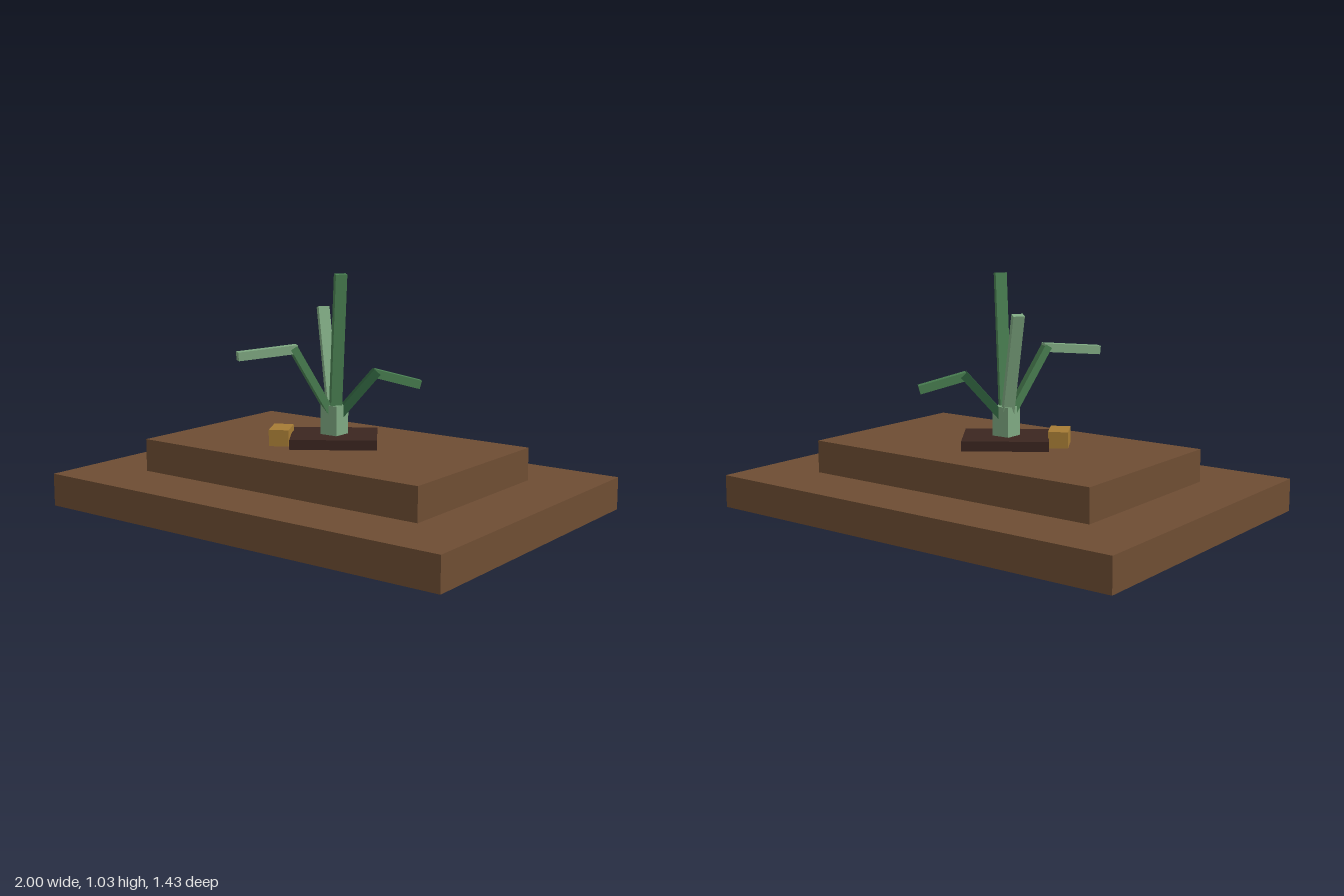
import * as THREE from 'three';

const mat = (name, color) => {
  const m = new THREE.MeshStandardMaterial({ color });
  m.name = name;
  return m;
};

export function createModel() {
  const group = new THREE.Group();
  const soil = mat('soil brown', 0x6e4d33);
  const darkSoil = mat('dark soil', 0x3b2620);
  const gold = mat('ochre', 0xa67c35);
  const paleGreen = mat('pale green', 0x7fa982);
  const midGreen = mat('mid green', 0x4a8052);
  const deepGreen = mat('deep green', 0x2d5c3b);

  // Upright box standing on height y, turned about the vertical axis
  const block = (name, material, size, x, y, z, turn = 0) => {
    const mesh = new THREE.Mesh(new THREE.BoxGeometry(...size), material);
    mesh.name = name;
    mesh.position.set(x, y + size[1] / 2, z);
    mesh.rotation.y = THREE.MathUtils.degToRad(turn);
    group.add(mesh);
  };

  // Flat bar between two points, its broad side level and across its heading
  const bar = (name, material, from, to, width, thick) => {
    const a = new THREE.Vector3(...from);
    const b = new THREE.Vector3(...to);
    const along = b.clone().sub(a);
    const length = along.length();
    along.normalize();
    const across = new THREE.Vector3(along.z, 0, -along.x).normalize();
    const normal = across.clone().cross(along);
    const mesh = new THREE.Mesh(new THREE.BoxGeometry(width, length, thick), material);
    mesh.name = name;
    mesh.quaternion.setFromRotationMatrix(new THREE.Matrix4().makeBasis(across, along, normal));
    mesh.position.copy(a).add(b).multiplyScalar(0.5);
    group.add(mesh);
  };

  // Stepped ground
  block('lowerGround', soil, [2, 0.143, 1.43], 0, 0, 0);
  block('upperGround', soil, [1.43, 0.143, 0.857], 0, 0.143, 0);
  block('soilPatch', darkSoil, [0.371, 0.043, 0.286], 0, 0.286, 0, 35);
  block('stone', gold, [0.086, 0.071, 0.143], -0.187, 0.286, 0.133, 30);

  // Plant
  block('stem', paleGreen, [0.086, 0.172, 0.086], 0, 0.286, 0);
  bar('tallLeaf', midGreen, [0.012, 0.4, 0.01], [0.073, 1.025, 0.053], 0.05, 0.029);
  bar('backLeaf', paleGreen, [-0.01, 0.4, -0.008], [-0.13, 0.865, -0.09], 0.05, 0.029);

  // Two bent leaves
  bar('frontLeafBase', midGreen, [0, 0.39, 0], [-0.105, 0.712, 0.153], 0.05, 0.032);
  bar('frontLeafTip', paleGreen, [-0.095, 0.706, 0.138], [-0.243, 0.685, 0.35], 0.043, 0.037);
  bar('sideLeafBase', deepGreen, [0, 0.39, 0], [0.132, 0.598, -0.128], 0.05, 0.036);
  bar('sideLeafTip', midGreen, [0.122, 0.592, -0.12], [0.265, 0.537, -0.265], 0.043, 0.037);

  return group;
}
